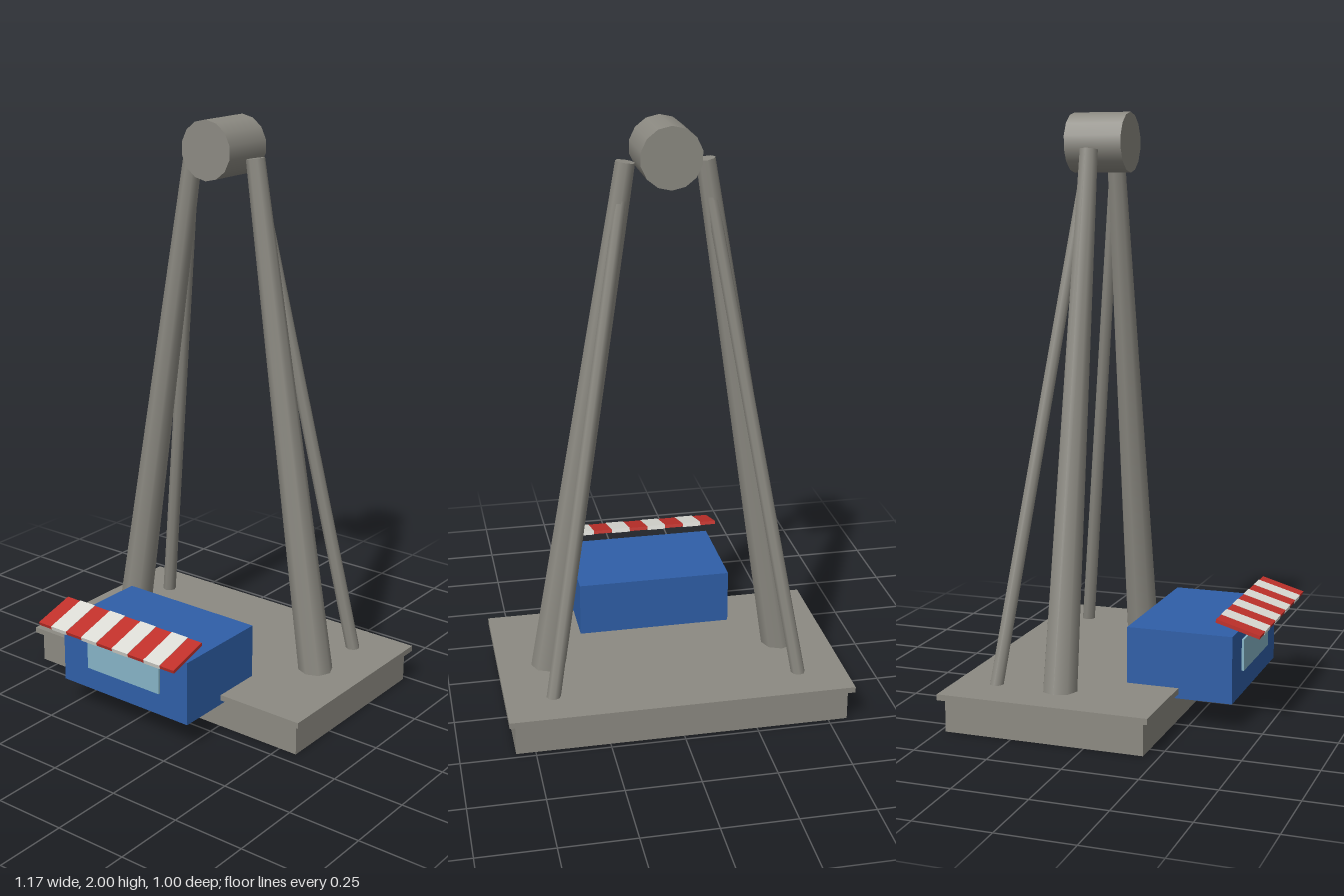
import * as THREE from 'three';

const mat = (name, color) => {
  const m = new THREE.MeshStandardMaterial({ color });
  m.name = name;
  return m;
};

export function createModel() {
  const model = new THREE.Group();
  model.name = 'wheelSupport';
  const steel = mat('warm grey', 0x8c8a82);
  const blue = mat('booth blue', 0x2f5fa8);
  const red = mat('awning red', 0xc0302a);
  const white = mat('awning white', 0xdcdcd6);
  const glass = mat('window glass', 0x86b4c6);

  const add = (parent, name, geometry, material, x = 0, y = 0, z = 0) => {
    const mesh = new THREE.Mesh(geometry, material);
    mesh.name = name;
    mesh.position.set(x, y, z);
    parent.add(mesh);
    return mesh;
  };
  const box = (w, h, d) => new THREE.BoxGeometry(w, h, d);

  // Tapered tube running from point a (bottom) to point b (top)
  const strut = (name, a, b, r0, r1, sides) => {
    const dir = b.clone().sub(a);
    const mesh = add(model, name, new THREE.CylinderGeometry(r1, r0, dir.length(), sides), steel);
    mesh.position.copy(a).add(b).multiplyScalar(0.5);
    mesh.quaternion.setFromUnitVectors(new THREE.Vector3(0, 1, 0), dir.normalize());
  };

  // Plinth and its overhanging deck
  add(model, 'plinth', box(1.13, 0.115, 0.68), steel, 0, 0.0575, -0.14);
  add(model, 'deck', box(1.17, 0.02, 0.72), steel, 0, 0.12, -0.14);

  // Main legs and rear braces
  for (const [side, s] of [['left', 1], ['right', -1]]) {
    strut(side + 'Leg', new THREE.Vector3(s * 0.413, 0.11, -0.14),
      new THREE.Vector3(s * 0.128, 1.875, -0.14), 0.06, 0.032, 8);
    strut(side + 'Brace', new THREE.Vector3(s * 0.425, 0.11, -0.363),
      new THREE.Vector3(s * 0.135, 1.82, -0.145), 0.024, 0.02, 8);
  }

  // Axle hub at the top
  add(model, 'hub', new THREE.CylinderGeometry(0.1, 0.1, 0.2, 14), steel, 0, 1.9, -0.14)
    .rotation.x = Math.PI / 2;

  // Ticket booth with front window
  add(model, 'booth', box(0.54, 0.225, 0.36), blue, 0, 0.2075, 0.222);
  add(model, 'boothWindow', box(0.313, 0.107, 0.009), glass, 0, 0.228, 0.4055);

  // Striped awning, sloping down to the front
  const awning = new THREE.Group();
  awning.name = 'awning';
  awning.position.set(0, 0.355, 0.426);
  awning.rotation.x = 0.28;
  model.add(awning);
  add(awning, 'awningBoard', box(0.586, 0.012, 0.153), red);
  for (let i = 0; i < 4; i++) {
    add(awning, 'awningStripe', box(0.067, 0.015, 0.155), white, (i - 1.5) * 0.135);
  }
  return model;
}
